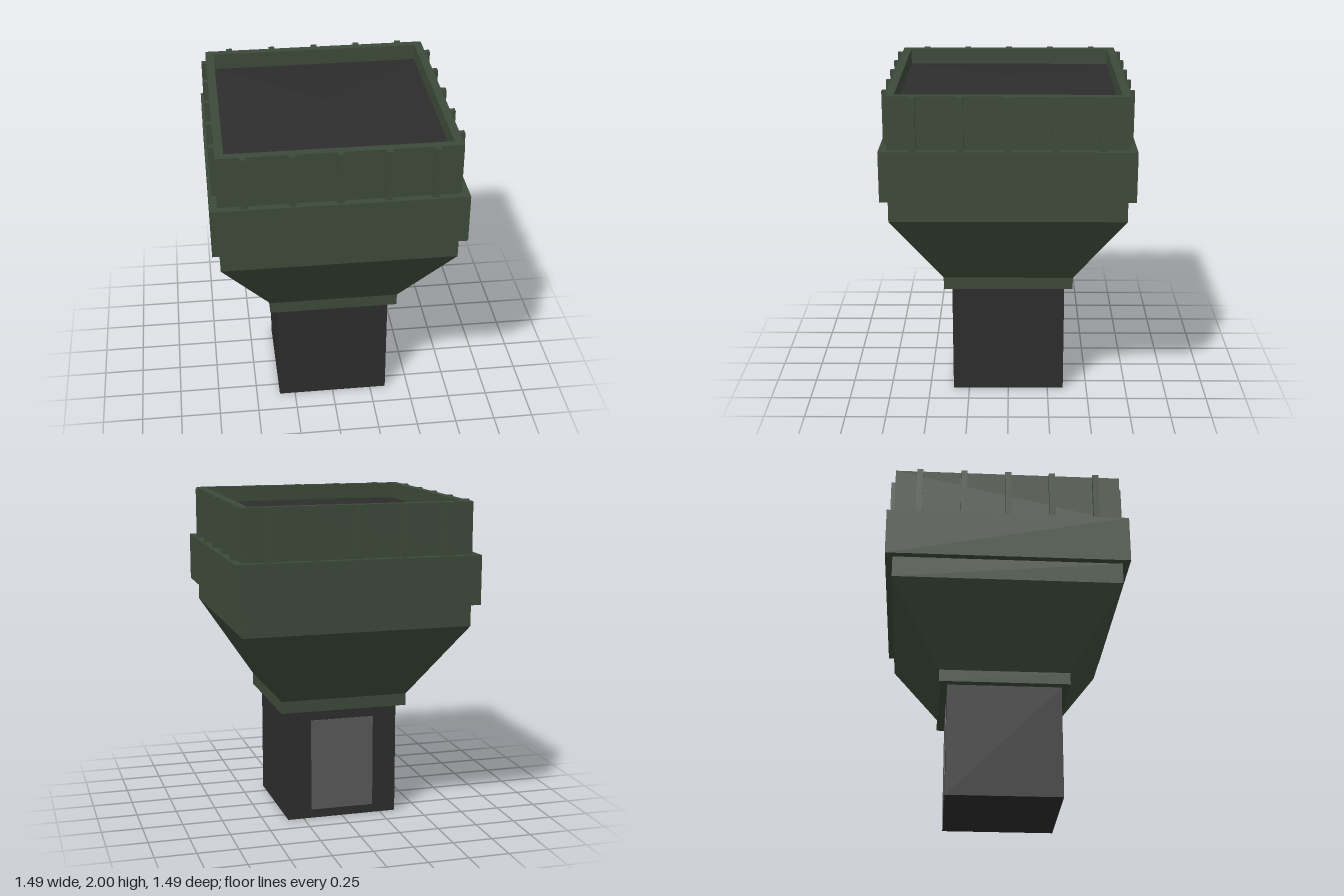
import * as THREE from 'three';

export function createModel() {
  const model = new THREE.Group();
  model.name = 'hopper';

  const mat = (name, color) => {
    const m = new THREE.MeshStandardMaterial({ color, flatShading: true });
    m.name = name;
    return m;
  };
  const green = mat('dark green', 0x3d4a3a);
  const black = mat('charcoal', 0x2d2d2d);
  const grey = mat('panel grey', 0x5a5a5a);

  const add = (name, geometry, material, parent = model) => {
    const mesh = new THREE.Mesh(geometry, material);
    mesh.name = name;
    parent.add(mesh);
    return mesh;
  };

  // Square block or frustum given by half widths and heights
  const block = (name, y0, y1, bottom, top, material) => {
    const g = new THREE.CylinderGeometry(top * Math.SQRT2, bottom * Math.SQRT2, y1 - y0, 4, 1);
    g.rotateY(Math.PI / 4);
    g.translate(0, (y0 + y1) / 2, 0);
    return add(name, g, material);
  };

  // Stem, collar, funnel and wide band
  block('stem', 0, 0.705, 0.35, 0.35, black);
  block('collar', 0.705, 0.78, 0.4, 0.4, green);
  block('funnel', 0.78, 1.25, 0.4, 0.7, green);
  block('neck', 1.25, 1.385, 0.7, 0.7, green);
  block('band', 1.385, 1.685, 0.745, 0.745, green);

  // Open square rim
  const square = (h, Type) => new Type([
    new THREE.Vector2(-h, -h), new THREE.Vector2(h, -h),
    new THREE.Vector2(h, h), new THREE.Vector2(-h, h),
  ]);
  const outline = square(0.7, THREE.Shape);
  outline.holes.push(square(0.65, THREE.Path));
  const rim = new THREE.ExtrudeGeometry(outline, { depth: 0.315, bevelEnabled: false });
  rim.rotateX(-Math.PI / 2);
  rim.translate(0, 1.685, 0);
  add('rim', rim, green);

  // Low pyramid heap inside the rim
  block('fill', 1.685, 1.9, 0.65, 0.65, black);
  block('heap', 1.9, 1.97, 0.65, 0, black);

  // Five ribs on each side of the rim
  const ribGeometry = new THREE.BoxGeometry(0.038, 0.315, 0.03);
  for (let side = 0; side < 4; side++) {
    const ribs = new THREE.Group();
    ribs.name = 'ribs';
    ribs.rotation.y = side * Math.PI / 2;
    for (let i = -2; i <= 2; i++) {
      add('rib', ribGeometry, green, ribs).position.set(i * 0.274, 1.8425, 0.715);
    }
    model.add(ribs);
  }

  // Thin access panel on the back of the stem
  add('backPanel', new THREE.BoxGeometry(0.4, 0.58, 0.006), grey).position.set(0, 0.345, -0.351);

  return model;
}
